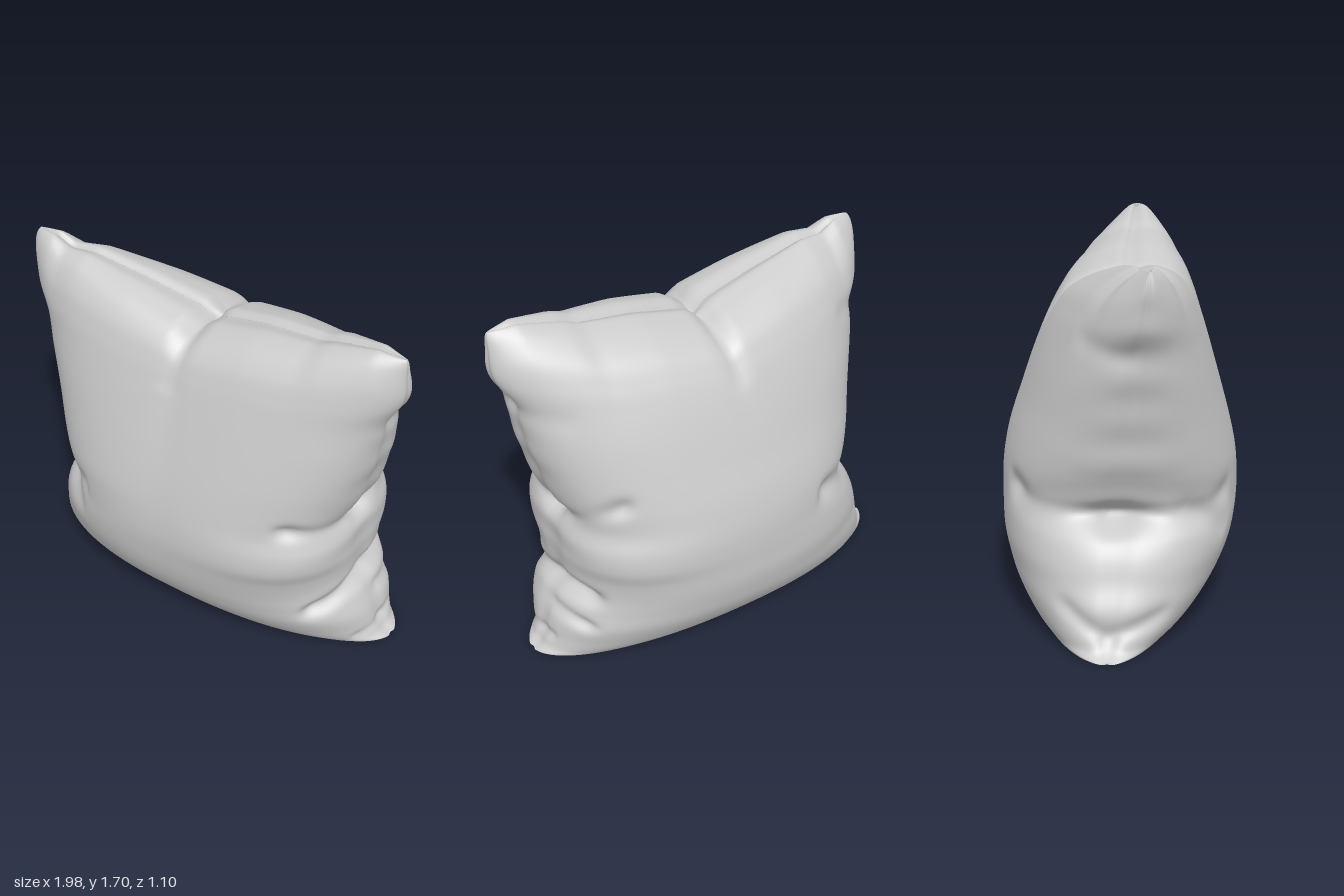
import * as THREE from 'three';

// Horizontal sections: height, right edge, left edge, front depth, back depth, squareness
const SECTIONS = [
  [0.012, -0.97, 0.93, -0.05, -0.05, 2.1],
  [0.006, -0.995, 0.955, 0.09, -0.19, 2.2],
  [0.008, -0.985, 0.95, 0.225, -0.325, 2.3],
  [0.04, -0.945, 0.91, 0.31, -0.39, 2.35],
  [0.1, -0.93, 0.885, 0.38, -0.443, 2.35],
  [0.19, -0.91, 0.87, 0.45, -0.497, 2.3],
  [0.28, -0.875, 0.825, 0.497, -0.527, 2.3],
  [0.37, -0.84, 0.785, 0.525, -0.545, 2.4],
  [0.47, -0.785, 0.775, 0.542, -0.55, 2.55],
  [0.56, -0.71, 0.785, 0.55, -0.552, 2.75],
  [0.65, -0.715, 0.785, 0.547, -0.548, 2.75],
  [0.75, -0.755, 0.76, 0.535, -0.533, 2.65],
  [0.86, -0.79, 0.795, 0.513, -0.507, 2.55],
  [1.0, -0.82, 0.84, 0.478, -0.463, 2.5],
  [1.18, -0.865, 0.885, 0.43, -0.408, 2.4],
  [1.34, -0.9, 0.915, 0.388, -0.354, 2.25],
  [1.46, -0.955, 0.97, 0.355, -0.305, 2.05],
  [1.57, -0.975, 0.99, 0.313, -0.24, 1.9],
  [1.66, -0.97, 0.985, 0.24, -0.125, 1.75],
  [1.7, -0.955, 0.975, 0.14, -0.02, 1.6],
  [1.685, -0.945, 0.965, 0.04, 0.04, 1.6],
];

// Sagging top edge as x, drop below the corner height
const TOP_EDGE = [
  [-1, 0.01], [-0.85, 0.01], [-0.77, 0.05], [-0.65, 0.04], [-0.35, 0.09], [-0.09, 0.145],
  [-0.02, 0.2], [0.05, 0.155], [0.3, 0.1], [0.56, 0.07], [0.64, 0.04], [0.85, -0.005], [1, 0.01],
];

// Folds running out from the seam: start, fading end, depth, width
const FOLDS = [
  // deep pinch around the right edge
  [[-0.72, 0.56, -0.02], [-0.44, 0.63, 0.5], 0.09, 0.065],
  [[-0.72, 0.56, -0.02], [-0.4, 0.64, -0.52], 0.09, 0.065],
  [[-0.66, 0.58, 0.3], [-0.5, 0.44, 0.5], 0.03, 0.07],
  // upper fold of the left edge
  [[0.76, 0.74, 0], [0.58, 0.8, 0.48], 0.06, 0.045],
  [[0.76, 0.74, 0], [0.58, 0.93, -0.44], 0.055, 0.05],
  // lower fold of the left edge
  [[0.8, 0.37, -0.03], [0.68, 0.24, 0.4], 0.055, 0.045],
  [[0.8, 0.37, -0.03], [0.72, 0.36, -0.36], 0.055, 0.045],
  [[0.83, 0.25, -0.08], [0.74, 0.19, -0.42], 0.03, 0.035],
  // wrinkles by the bottom corners
  [[0.88, 0.1, -0.12], [0.84, 0.05, 0.15], 0.025, 0.03],
  [[-0.93, 0.09, -0.05], [-0.83, 0.2, 0.25], 0.025, 0.045],
  [[-0.93, 0.09, -0.05], [-0.82, 0.25, -0.3], 0.025, 0.045],
  // shallow dimples up the sides
  [[0.91, 1.33, 0.04], [0.65, 1.4, 0.25], 0.02, 0.06],
  [[0.91, 1.33, 0.04], [0.7, 1.3, -0.2], 0.02, 0.06],
  [[-0.9, 1.32, 0.05], [-0.68, 1.38, -0.2], 0.02, 0.06],
  // pull below the top notch
  [[-0.02, 1.5, 0.08], [-0.05, 1.28, 0.4], 0.025, 0.05],
  [[-0.02, 1.5, 0.02], [-0.05, 1.3, -0.36], 0.025, 0.05],
].map(([a, b, depth, width]) => ({
  line: new THREE.Line3(new THREE.Vector3(...a), new THREE.Vector3(...b)), depth, width,
}));

function spline(first) {
  const pts = SECTIONS.map((s) => new THREE.Vector3(s[first], s[first + 1], s[first + 2]));
  return new THREE.CatmullRomCurve3(pts, false, 'catmullrom', 0.5);
}

function topDrop(x) {
  for (let i = 1; i < TOP_EDGE.length; i++) {
    const [x0, d0] = TOP_EDGE[i - 1];
    const [x1, d1] = TOP_EDGE[i];
    if (x <= x1) return THREE.MathUtils.lerp(d0, d1, THREE.MathUtils.clamp((x - x0) / (x1 - x0), 0, 1));
  }
  return 0;
}

const signedPow = (v, e) => Math.sign(v) * Math.pow(Math.abs(v), e);

// Press folds into the cloth, with a soft roll on both sides
function pressFolds(p, centerX) {
  const inward = new THREE.Vector3(centerX - p.x, 0, -p.z);
  if (inward.lengthSq() < 1e-6) return;
  inward.normalize();
  const near = new THREE.Vector3();
  let push = 0;
  for (const { line, depth, width } of FOLDS) {
    const t = line.closestPointToPointParameter(p, true);
    line.at(t, near);
    const q = near.distanceToSquared(p) / (width * width);
    push += depth * (0.5 + 1.5 * t) * (1 - t * t) * (1 - 0.3 * q) * Math.exp(-q);
  }
  p.addScaledVector(inward, push);
}

function cushionGeometry(rows, around) {
  const sizeCurve = spline(0);
  const depthCurve = spline(3);
  const positions = [];
  const indices = [];
  const p = new THREE.Vector3();
  for (let i = 0; i <= rows; i++) {
    const { x: h, y: xr, z: xl } = sizeCurve.getPoint(i / rows);
    const { x: zf, y: zb, z: n } = depthCurve.getPoint(i / rows);
    const center = (xl + xr) / 2;
    const half = (xl - xr) / 2;
    const rise = THREE.MathUtils.clamp(h / 1.69, 0, 1);
    const seam = THREE.MathUtils.lerp(-0.05, 0.04, rise);
    for (let j = 0; j < around; j++) {
      const a = (j / around) * Math.PI * 2;
      const c = Math.cos(a);
      const s = Math.sin(a);
      // side seam groove with gentle puckers
      const edge = Math.exp(-((s / 0.06) ** 2));
      const pucker = Math.exp(-((s / 0.3) ** 2)) * 0.004 * Math.sin(h * 31 + c * 2);
      const x = center + half * signedPow(c, 2 / n) - Math.sign(c) * (0.01 * edge + pucker);
      const depth = s > 0 ? Math.max(zf - seam, 0) : Math.max(seam - zb, 0);
      // the seam bows forward toward the upper corners
      const bow = (0.07 * Math.abs(x) - 0.02 * x) * rise;
      p.set(x, h - topDrop(x) * rise ** 4, seam + bow + depth * signedPow(s, 2 / n));
      pressFolds(p, center);
      positions.push(p.x, Math.max(p.y, 0), p.z);
      if (i < rows) {
        const k = i * around;
        const j1 = (j + 1) % around;
        indices.push(k + j, k + around + j, k + j1, k + j1, k + around + j, k + around + j1);
      }
    }
  }
  const geometry = new THREE.BufferGeometry();
  geometry.setAttribute('position', new THREE.Float32BufferAttribute(positions, 3));
  geometry.setIndex(indices);
  geometry.computeVertexNormals();
  return geometry;
}

export function createModel() {
  const group = new THREE.Group();
  group.name = 'pillow';
  const cloth = new THREE.MeshStandardMaterial({ color: 0xcccccc, side: THREE.DoubleSide });
  const cushion = new THREE.Mesh(cushionGeometry(160, 200), cloth);
  cushion.name = 'cushion';
  group.add(cushion);
  return group;
}
